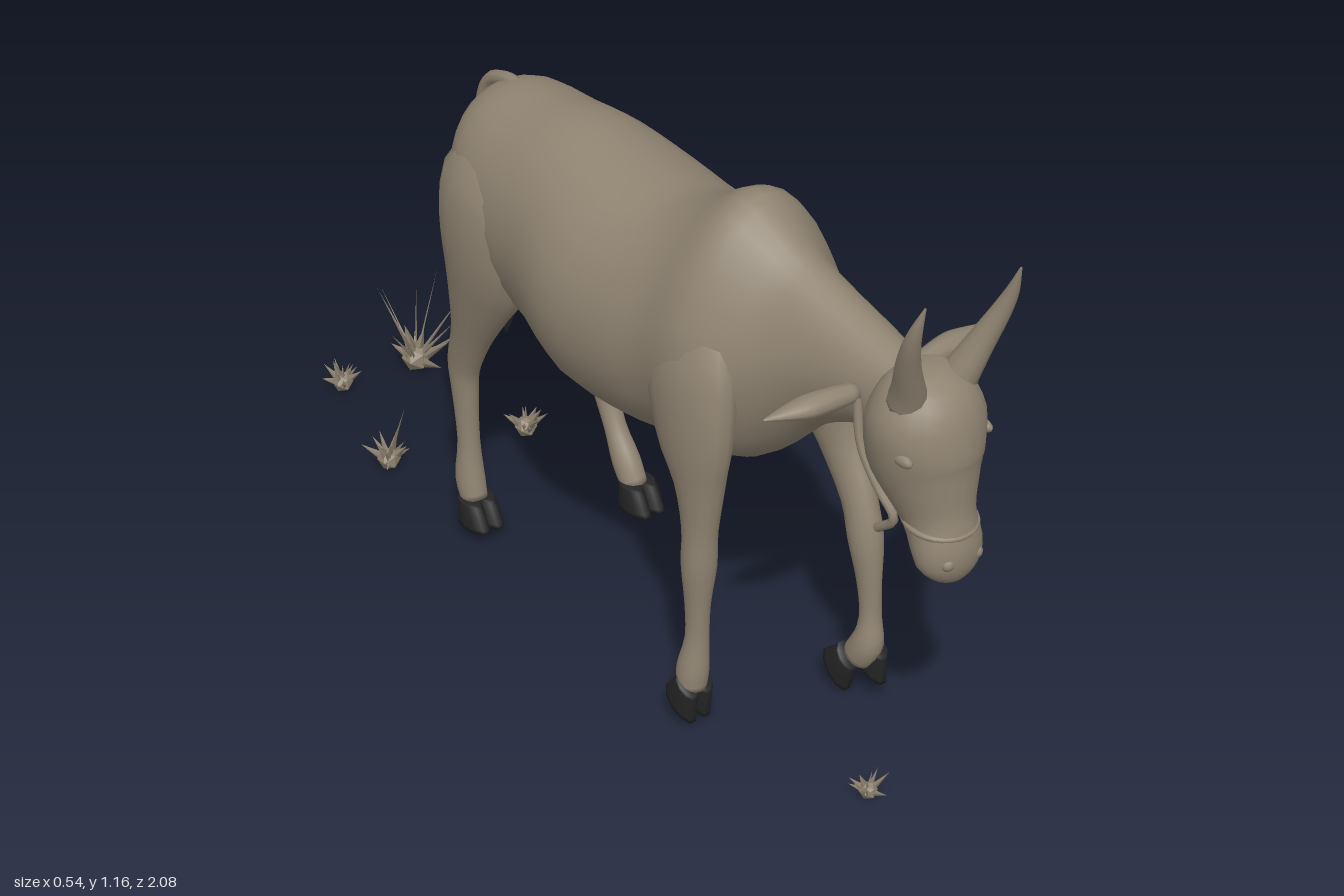
import * as THREE from 'three';

const skin = new THREE.MeshStandardMaterial({ color: 0x8f8371, side: THREE.DoubleSide });
skin.name = 'dusty hide';
const dark = new THREE.MeshStandardMaterial({ color: 0x242424, side: THREE.DoubleSide });
dark.name = 'black horn and hair';

const UP = new THREE.Vector3(0, 1, 0), FRONT = new THREE.Vector3(0, 0, 1);

// Smooth loft through sections [x, y, z, halfWidth, halfDepth, topPinch].
// Rings follow the spine unless a fixed depth direction is given.
function loft(sections, sides = 16, depthDir = null, steps = 3) {
  const n = sections.length;
  const at = (i, k) => sections[Math.min(n - 1, Math.max(0, i))][k] ?? 0;
  const rows = [];
  for (let i = 0; i < (n - 1) * steps + 1; i++) {
    const s = Math.min(n - 2, Math.floor(i / steps)), t = i / steps - s;
    rows.push([0, 1, 2, 3, 4, 5].map((k) => {
      const a = at(s - 1, k), b = at(s, k), c = at(s + 1, k), d = at(s + 2, k);
      return b + 0.5 * t * (c - a + t * (2 * a - 5 * b + 4 * c - d + t * (3 * (b - c) + d - a)));
    }));
  }
  const pos = [], idx = [], X = new THREE.Vector3(1, 0, 0);
  rows.forEach((r, i) => {
    const p = rows[Math.max(0, i - 1)], q = rows[Math.min(rows.length - 1, i + 1)];
    const N = depthDir ?? new THREE.Vector3(0, q[1] - p[1], q[2] - p[2]).normalize().cross(X);
    for (let j = 0; j < sides; j++) {
      const a = (j / sides) * Math.PI * 2, sn = Math.sin(a) * r[4];
      const w = r[3] * (1 - r[5] * Math.max(0, Math.sin(a)));
      pos.push(r[0] + Math.cos(a) * w, r[1] + N.y * sn, r[2] + N.z * sn);
      if (i < rows.length - 1) {
        const A = i * sides + j, B = i * sides + (j + 1) % sides;
        idx.push(A, B, A + sides, B, B + sides, A + sides);
      }
    }
  });
  // end caps
  const last = (rows.length - 1) * sides, c0 = pos.length / 3;
  pos.push(...rows[0].slice(0, 3), ...rows[rows.length - 1].slice(0, 3));
  for (let j = 0; j < sides; j++) {
    const k = (j + 1) % sides;
    idx.push(c0, k, j, c0 + 1, last + j, last + k);
  }
  const g = new THREE.BufferGeometry();
  g.setAttribute('position', new THREE.Float32BufferAttribute(pos, 3));
  g.setIndex(idx);
  g.computeVertexNormals();
  return g;
}

function add(parent, name, geometry, material = skin) {
  const m = new THREE.Mesh(geometry, material);
  m.name = name;
  parent.add(m);
  return m;
}

function tube(points, radius, segments = 20) {
  const curve = new THREE.CatmullRomCurve3(points.map((p) => new THREE.Vector3(...p)));
  return new THREE.TubeGeometry(curve, segments, radius, 8);
}

// One half of a cloven hoof
function toe(parent, x, y, z, pitch = 0) {
  const m = add(parent, 'hoof', loft([
    [0, 0.03, -0.008, 0.019, 0.03], [0, 0.005, 0, 0.023, 0.038], [0, -0.028, 0.008, 0.024, 0.048],
  ], 10, FRONT), dark);
  m.position.set(x, y, z);
  m.rotation.x = pitch;
}

// Small plant: seeded spray of leaves, with optional long blades
function plant(parent, x, z, size, blades, seed) {
  const rnd = () => (seed = (seed * 16807) % 2147483647) / 2147483647;
  const g = new THREE.Group();
  g.name = 'plant';
  g.position.set(x, 0, z);
  parent.add(g);
  add(g, 'plantCore', new THREE.IcosahedronGeometry(size * 0.5, 0)).position.y = size * 0.55;
  for (let i = 0; i < 11 + blades; i++) {
    const long = i >= 11;
    const len = long ? 0.14 + rnd() * 0.07 : size * (1 + rnd() * 0.5);
    const leaf = new THREE.ConeGeometry(long ? 0.006 : size * 0.3, len, 4);
    leaf.scale(1, 1, 0.5).translate(0, len / 2, 0);
    const m = add(g, long ? 'blade' : 'leaf', leaf);
    m.position.y = size * 0.45;
    m.rotation.set(0, i * 2.4 + rnd(), long ? 0.3 + rnd() * 0.7 : 0.2 + rnd() * 1.3, 'YXZ');
  }
}

export function createModel() {
  const model = new THREE.Group();
  model.name = 'humpedCow';

  // Trunk, hump and neck
  add(model, 'body', loft([
    [-0.02, 0.89, -0.408, 0.06, 0.07], [-0.02, 0.885, -0.393, 0.115, 0.12],
    [-0.02, 0.855, -0.33, 0.165, 0.182], [-0.02, 0.82, -0.22, 0.19, 0.222],
    [-0.02, 0.805, -0.1, 0.205, 0.245], [-0.025, 0.775, 0.05, 0.235, 0.255],
    [-0.025, 0.77, 0.2, 0.222, 0.252], [-0.025, 0.792, 0.3, 0.205, 0.266, 0.1],
    [-0.025, 0.828, 0.4, 0.205, 0.286, 0.2], [-0.025, 0.825, 0.47, 0.18, 0.258, 0.25],
    [-0.02, 0.832, 0.54, 0.135, 0.205, 0.25], [-0.015, 0.855, 0.62, 0.1, 0.148, 0.1],
    [-0.01, 0.865, 0.73, 0.078, 0.102], [-0.01, 0.86, 0.84, 0.06, 0.08],
  ], 28, UP));
  add(model, 'sheath', loft([
    [-0.02, 0.58, 0.09, 0.1, 0.11], [-0.02, 0.52, 0.085, 0.075, 0.11],
    [-0.015, 0.475, 0.08, 0.033, 0.05], [-0.01, 0.44, 0.075, 0.008, 0.01],
  ], 12, FRONT));

  // Front legs
  add(model, 'leftFrontLeg', loft([
    [0.06, 0.98, 0.39, 0.04, 0.06], [0.115, 0.82, 0.41, 0.063, 0.115], [0.133, 0.66, 0.445, 0.055, 0.1],
    [0.135, 0.55, 0.495, 0.043, 0.06], [0.125, 0.45, 0.558, 0.034, 0.04],
    [0.122, 0.37, 0.585, 0.035, 0.037], [0.12, 0.28, 0.602, 0.024, 0.027],
    [0.12, 0.2, 0.61, 0.023, 0.022], [0.115, 0.14, 0.61, 0.032, 0.034], [0.112, 0.1, 0.59, 0.03, 0.034],
  ]));
  toe(model, 0.13, 0.1, 0.612, 0.55);
  toe(model, 0.1, 0.065, 0.555, 0.8);
  add(model, 'rightFrontLeg', loft([
    [-0.11, 0.98, 0.38, 0.04, 0.06], [-0.165, 0.82, 0.4, 0.063, 0.115], [-0.183, 0.66, 0.43, 0.055, 0.1],
    [-0.185, 0.55, 0.45, 0.043, 0.058], [-0.187, 0.45, 0.455, 0.034, 0.038],
    [-0.188, 0.37, 0.455, 0.035, 0.036], [-0.19, 0.28, 0.455, 0.025, 0.027],
    [-0.19, 0.2, 0.455, 0.024, 0.024], [-0.195, 0.13, 0.45, 0.032, 0.033], [-0.198, 0.085, 0.45, 0.03, 0.03],
  ]));
  toe(model, -0.18, 0.07, 0.448, 0.6);
  toe(model, -0.215, 0.07, 0.448, 0.6);

  // Hind legs
  add(model, 'leftHindLeg', loft([
    [0.04, 0.99, -0.24, 0.05, 0.07], [0.095, 0.88, -0.25, 0.075, 0.145], [0.115, 0.74, -0.24, 0.075, 0.15],
    [0.115, 0.6, -0.195, 0.055, 0.095], [0.108, 0.5, -0.195, 0.038, 0.057], [0.107, 0.41, -0.22, 0.032, 0.043],
    [0.106, 0.34, -0.215, 0.027, 0.032], [0.104, 0.25, -0.175, 0.024, 0.024],
    [0.102, 0.185, -0.135, 0.03, 0.032], [0.102, 0.135, -0.105, 0.028, 0.028],
  ]));
  toe(model, 0.086, 0.12, -0.093);
  toe(model, 0.122, 0.12, -0.093);
  add(model, 'rightHindLeg', loft([
    [-0.08, 0.99, -0.24, 0.05, 0.07], [-0.135, 0.88, -0.25, 0.075, 0.145], [-0.155, 0.74, -0.25, 0.07, 0.14],
    [-0.155, 0.6, -0.29, 0.05, 0.085], [-0.15, 0.5, -0.325, 0.037, 0.052], [-0.145, 0.41, -0.36, 0.03, 0.042],
    [-0.143, 0.34, -0.362, 0.027, 0.031], [-0.14, 0.22, -0.357, 0.024, 0.024],
    [-0.14, 0.13, -0.355, 0.031, 0.033], [-0.14, 0.08, -0.34, 0.028, 0.028],
  ]));
  toe(model, -0.122, 0.058, -0.328);
  toe(model, -0.158, 0.058, -0.328);

  // Tail with dark tuft
  add(model, 'tail', tube([[-0.02, 1.02, -0.3], [-0.02, 1.022, -0.37], [-0.02, 0.995, -0.425],
    [-0.02, 0.9, -0.453], [-0.01, 0.75, -0.435], [0.01, 0.56, -0.42]], 0.015, 30));
  add(model, 'tailTuft', loft([
    [0.008, 0.59, -0.42, 0.012, 0.012], [0.01, 0.53, -0.415, 0.026, 0.028],
    [0.01, 0.47, -0.415, 0.024, 0.025], [0.008, 0.395, -0.42, 0.003, 0.003],
  ], 10), dark);

  // Head
  const head = new THREE.Group();
  head.name = 'head';
  head.position.x = -0.01;
  model.add(head);
  add(head, 'skull', loft([
    [0, 0.95, 0.865, 0.045, 0.03], [0, 0.92, 0.865, 0.085, 0.075], [0, 0.86, 0.87, 0.115, 0.103],
    [0, 0.78, 0.875, 0.108, 0.11], [0, 0.72, 0.895, 0.088, 0.093], [0, 0.66, 0.92, 0.068, 0.07],
    [0, 0.61, 0.943, 0.072, 0.058], [0, 0.575, 0.948, 0.065, 0.048], [0, 0.552, 0.945, 0.042, 0.035],
  ], 20));
  for (const s of [-1, 1]) {
    // Horn sweeping up and forward
    add(head, 'horn', loft([
      [s * 0.055, 0.9, 0.88, 0.042, 0.04], [s * 0.067, 0.94, 0.895, 0.034, 0.034],
      [s * 0.09, 1.0, 0.915, 0.026, 0.026], [s * 0.108, 1.06, 0.938, 0.019, 0.019],
      [s * 0.115, 1.11, 0.957, 0.012, 0.012], [s * 0.113, 1.163, 0.975, 0.002, 0.002],
    ], 12));
    // Leaf-shaped ear
    const ear = add(head, 'ear', loft([
      [0, 0, 0, 0.018, 0.018], [0, 0, 0.05, 0.024, 0.023], [0, 0, 0.105, 0.028, 0.021],
      [0, 0, 0.15, 0.018, 0.012], [0, 0, 0.195, 0.002, 0.002],
    ], 10));
    ear.position.set(s * 0.075, 0.875, 0.765);
    ear.rotation.y = s * (Math.PI / 2 + 0.15);
    // Eye and nostril
    const eye = add(head, 'eye', new THREE.SphereGeometry(0.022, 12, 8));
    eye.scale.set(0.5, 0.6, 1.2);
    eye.position.set(s * 0.097, 0.815, 0.918);
    const nostril = add(head, 'nostril', new THREE.SphereGeometry(0.014, 10, 8));
    nostril.position.set(s * 0.035, 0.598, 0.983);
    // Halter cheek strap along the jaw, hanging below the chin
    add(head, 'cheekStrap', tube([[s * 0.08, 0.87, 0.775], [s * 0.084, 0.78, 0.795],
      [s * 0.078, 0.71, 0.835], [s * 0.07, 0.655, 0.875], [s * 0.068, 0.61, 0.83]], 0.009));
  }
  const band = add(head, 'noseBand', new THREE.TorusGeometry(0.068, 0.006, 8, 28));
  band.position.set(0, 0.655, 0.922);
  band.rotation.x = Math.PI / 2 + 0.1;

  // Scattered plants
  plant(model, -0.05, -0.96, 0.048, 0, 11);
  plant(model, 0.13, -0.93, 0.065, 10, 23);
  plant(model, -0.15, -0.64, 0.052, 1, 37);
  plant(model, 0.16, -0.56, 0.05, 0, 51);
  plant(model, -0.09, 0.85, 0.038, 0, 73);
  return model;
}
